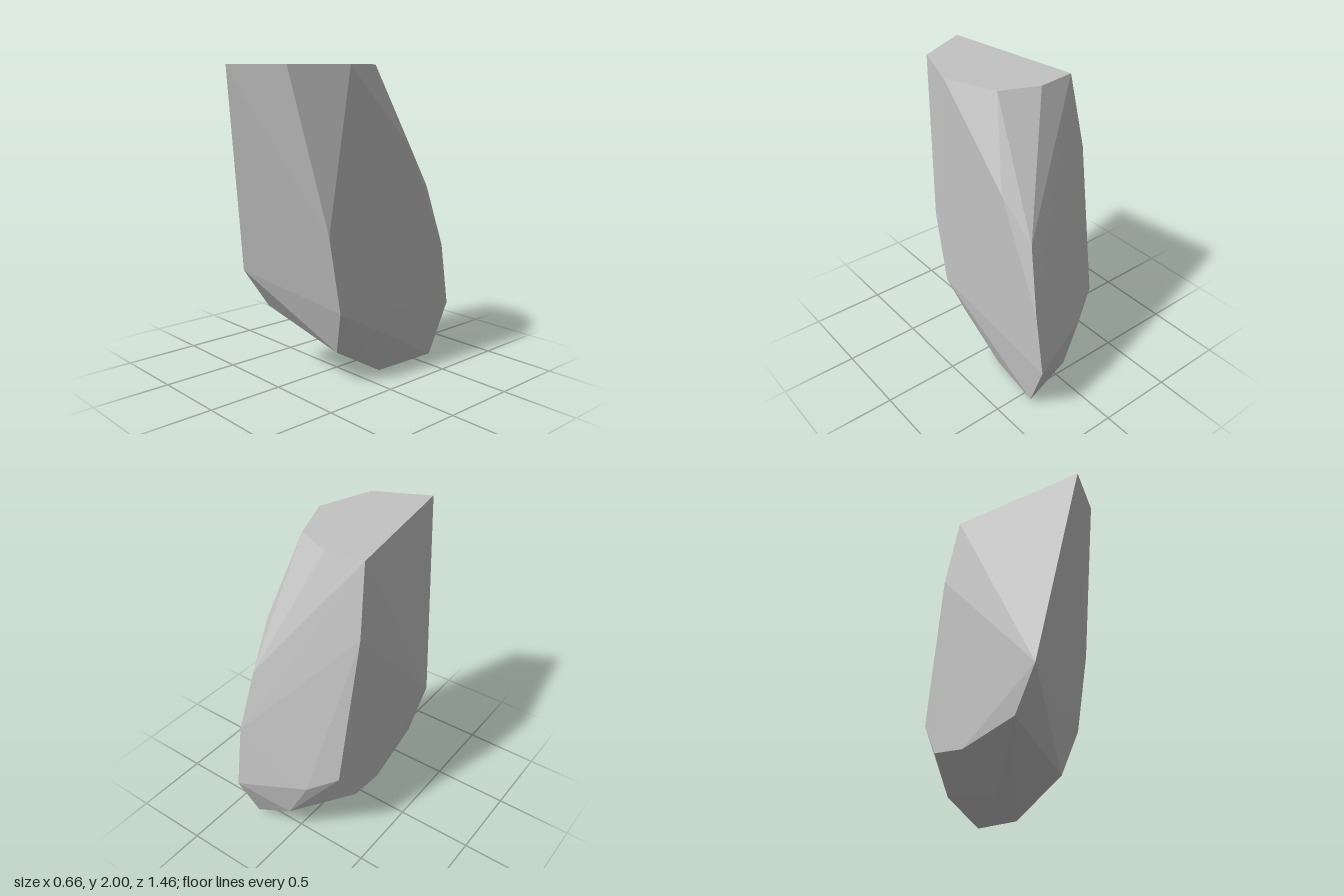
import * as THREE from 'three';
import { ConvexGeometry } from 'three/addons/geometries/ConvexGeometry.js';

export function createModel() {
  const group = new THREE.Group();
  group.name = 'rockPillar';

  const stone = new THREE.MeshStandardMaterial({ color: 0xc3c3c3 });
  stone.name = 'light grey stone';

  // Corners of the faceted boulder
  const corners = [
    // flat top
    [-0.29, 2, -0.21], [-0.04, 2, -0.24], [0.2, 2, -0.14],
    [0.33, 2, 0.19], [0.2, 2, 0.56], [-0.15, 2, 0.73],
    // left flank, front edge then back edge
    [0.33, 1.0, 0.36], [0.33, 0.51, 0.27], [0.23, 0.22, 0.21],
    [0.33, 1.47, -0.34], [0.28, 1.21, -0.55], [0.33, 0.8, -0.66], [0.33, 0.38, -0.73],
    // right flank
    [-0.33, 1.55, -0.3], [-0.33, 0.7, 0.51], [-0.31, 0.43, 0.33],
    [-0.33, 0.32, -0.08], [-0.33, 0.35, -0.33], [-0.3, 0.57, -0.47],
    // lower back and underside
    [-0.12, 0.46, -0.57], [0.02, 0.19, -0.59], [0.3, 0.03, -0.59],
    [0.23, 0, -0.17], [0.03, 0.11, -0.15],
  ].map((c) => new THREE.Vector3(...c));

  const rock = new THREE.Mesh(new ConvexGeometry(corners), stone);
  rock.name = 'rock';
  group.add(rock);
  return group;
}
